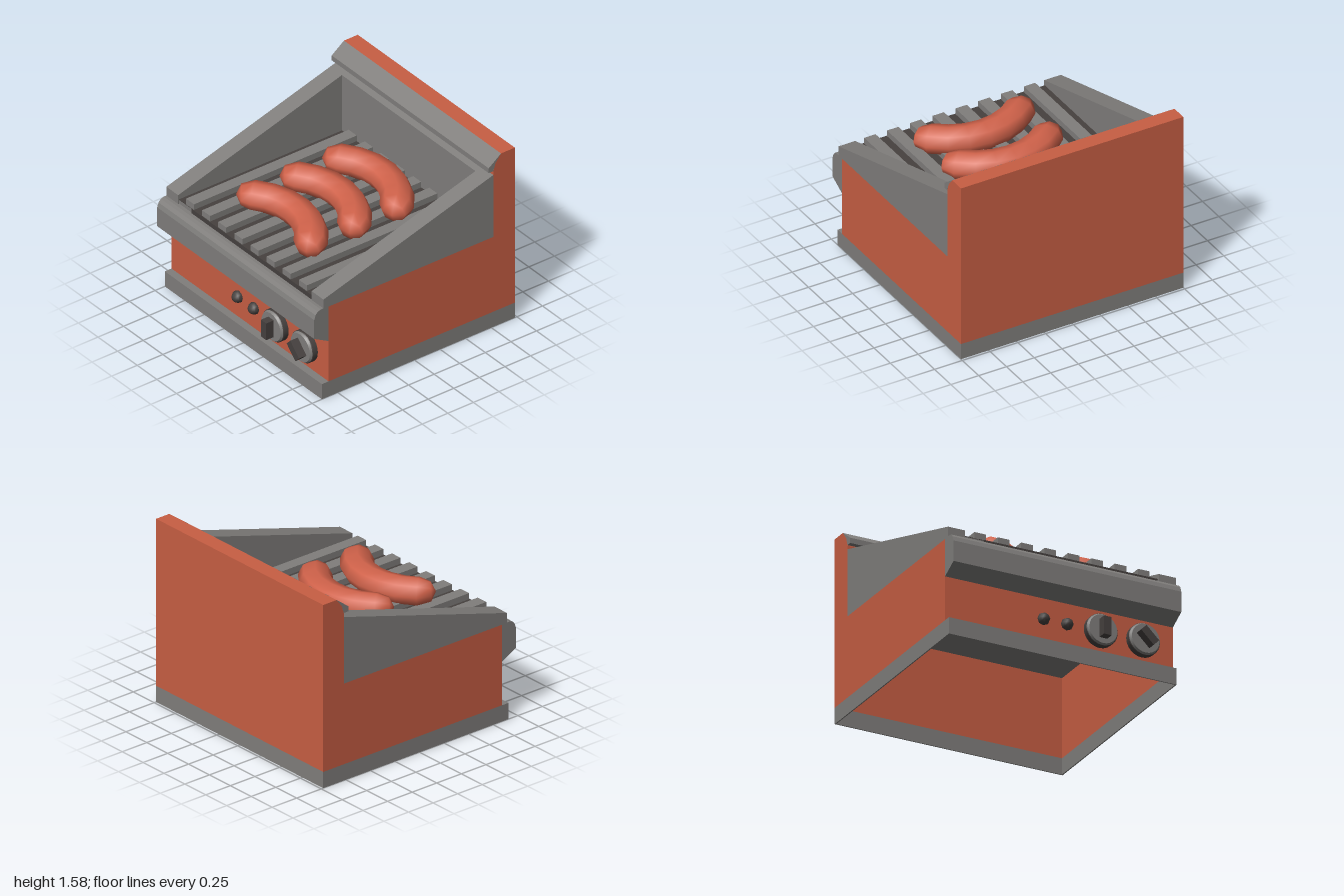
import * as THREE from 'three';
import { mergeVertices, toCreasedNormals } from 'three/addons/utils/BufferGeometryUtils.js';

const mat = (name, color, side = THREE.FrontSide) => {
  const m = new THREE.MeshStandardMaterial({ color, side });
  m.name = name;
  return m;
};

export function createModel() {
  const grey = mat('steel grey', 0x807e7c, THREE.DoubleSide);
  const orange = mat('orange enamel', 0xc75e43, THREE.DoubleSide);
  const dark = mat('dark iron', 0x46413f);
  const meat = mat('sausage red', 0xd0624a);

  const model = new THREE.Group();
  model.name = 'tableGrill';

  const add = (name, geo, material, parent = model) => {
    const m = new THREE.Mesh(geo, material);
    m.name = name;
    parent.add(m);
    return m;
  };
  // Box given by its limits
  const box = (name, material, x0, x1, y0, y1, z0, z1) => {
    const m = add(name, new THREE.BoxGeometry(x1 - x0, y1 - y0, z1 - z0), material);
    m.position.set((x0 + x1) / 2, (y0 + y1) / 2, (z0 + z1) / 2);
    return m;
  };
  // Side profile of [z, y] points, extruded from x0 to x1
  const prism = (name, material, pts, x0, x1) => {
    const shape = new THREE.Shape(pts.map(p => new THREE.Vector2(...p)));
    const geo = new THREE.ExtrudeGeometry(shape, { depth: x1 - x0, bevelEnabled: false });
    geo.rotateY(-Math.PI / 2).translate(x1, 0, 0);
    return add(name, geo, material);
  };

  // Base: an open skirt with a ledge at the front
  box('baseFront', grey, -1, 1, 0, 0.14, 0.895, 0.905);
  box('baseBack', grey, -1, 1, 0, 0.14, -0.98, -0.97);
  box('baseLedge', grey, -1, 1, 0.13, 0.14, 0.83, 0.895);
  for (const s of [-1, 1]) {
    const x = s * 0.995;
    box('baseSide', grey, x - 0.005, x + 0.005, 0, 0.14, -0.97, 0.895);
    box('sidePanel', orange, x - 0.005, x + 0.005, 0.14, 0.835, -0.97, 0.84);
  }

  // Body panels, open underneath
  box('frontPanel', orange, -0.99, 0.99, 0.14, 0.515, 0.83, 0.84);
  box('backPanel', orange, -1, 1, 0.14, 0.835, -0.98, -0.97);
  prism('backUpright', orange,
    [[-0.98, 0.835], [-0.77, 0.835], [-0.77, 1.44], [-0.79, 1.51], [-0.845, 1.58], [-0.98, 1.58]], -1, 1);
  prism('topVisor', grey,
    [[-0.845, 1.58], [-0.725, 1.49], [-0.725, 1.445], [-0.77, 1.445], [-0.79, 1.51]], -1, 1);
  box('innerDeck', grey, -0.99, 0.99, 0.825, 0.835, -0.97, 0.89);

  // Front hood: bent sheet with closed ends
  const hood = [[0.84, 0.515], [0.98, 0.59], [0.98, 0.765], [0.967, 0.805], [0.945, 0.83], [0.915, 0.838], [0.84, 0.838]];
  const inner = [[0.84, 0.828], [0.91, 0.828], [0.938, 0.82], [0.958, 0.8], [0.97, 0.762], [0.97, 0.597], [0.84, 0.527]];
  prism('frontHood', grey, [...hood, ...inner], -1, 1);
  for (const s of [-1, 1]) prism('hoodEnd', grey, hood, s * 0.995 - 0.005, s * 0.995 + 0.005);

  // Sloping splash guard around the cooking area
  const top = z => 0.92 + (0.89 - z) * 0.295;
  const guard = [[-0.77, 0.835], [0.89, 0.835], [0.89, 0.92], [-0.77, top(-0.77)]];
  prism('leftGuard', grey, guard, 0.85, 1);
  prism('rightGuard', grey, guard, -1, -0.85);
  prism('rearGuard', grey,
    [[-0.77, 0.835], [-0.71, 0.835], [-0.71, top(-0.71)], [-0.77, top(-0.77)]], -0.85, 0.85);

  // Griddle bed with raised bars
  box('griddleBed', grey, -0.85, 0.85, 0.835, 0.872, -0.71, 0.88);
  box('griddleGrooves', dark, -0.85, 0.85, 0.872, 0.878, -0.71, 0.88);
  box('griddleFrontEdge', dark, -0.685, 0.835, 0.836, 0.878, 0.88, 0.886);
  for (let i = 0; i < 8; i++) {
    const x = -0.712 + i * 0.2052;
    box('griddleBar', grey, x - 0.051, x + 0.051, 0.876, 0.93, -0.71, 0.88);
  }

  // Sausages: capsules bent along an arc
  const R = 0.56;
  const sausage = () => {
    let geo = new THREE.CapsuleGeometry(0.135, 0.86, 2, 8, 6);
    const p = geo.attributes.position;
    for (let i = 0; i < p.count; i++) {
      const a = p.getY(i) / R, r = R + p.getX(i);
      p.setXYZ(i, r * Math.sin(a), -p.getZ(i) * 0.83, R - r * Math.cos(a));
    }
    geo.deleteAttribute('normal');
    geo.deleteAttribute('uv');
    geo = mergeVertices(geo, 1e-4);
    geo.computeVertexNormals();
    return geo;
  };
  const sausageGeo = sausage();
  for (const z of [-0.475, -0.06, 0.365]) {
    const s = add('sausage', sausageGeo, meat);
    s.position.set(0, 0.995, z);
    s.rotation.set(0, -0.045, -0.025);
  }

  // Control knobs with turned grips
  const rimGeo = toCreasedNormals(new THREE.LatheGeometry(
    [[0.137, 0], [0.137, 0.045], [0.122, 0.064], [0, 0.064]].map(p => new THREE.Vector2(...p)), 24), 0.5);
  rimGeo.rotateX(Math.PI / 2);
  [[0.355, 0], [0.727, 0.8]].forEach(([x, turn]) => {
    const knob = new THREE.Group();
    knob.name = 'controlKnob';
    knob.position.set(x, 0.336, 0.84);
    knob.rotation.z = turn;
    model.add(knob);
    add('knobRim', rimGeo, dark, knob);
    const face = new THREE.CylinderGeometry(0.122, 0.135, 0.02, 24);
    face.rotateX(Math.PI / 2);
    add('knobFace', face, grey, knob).position.z = 0.057;
    const grip = new THREE.BoxGeometry(0.068, 0.155, 0.075);
    add('knobGrip', grip, dark, knob).position.z = 0.1025;
  });

  // Indicator lamps
  for (const x of [-0.14, 0.066]) {
    const lamp = add('indicatorLamp', new THREE.SphereGeometry(0.052, 8, 6), dark);
    lamp.position.set(x, 0.335, 0.85);
    lamp.rotation.x = Math.PI / 2;
  }

  return model;
}
